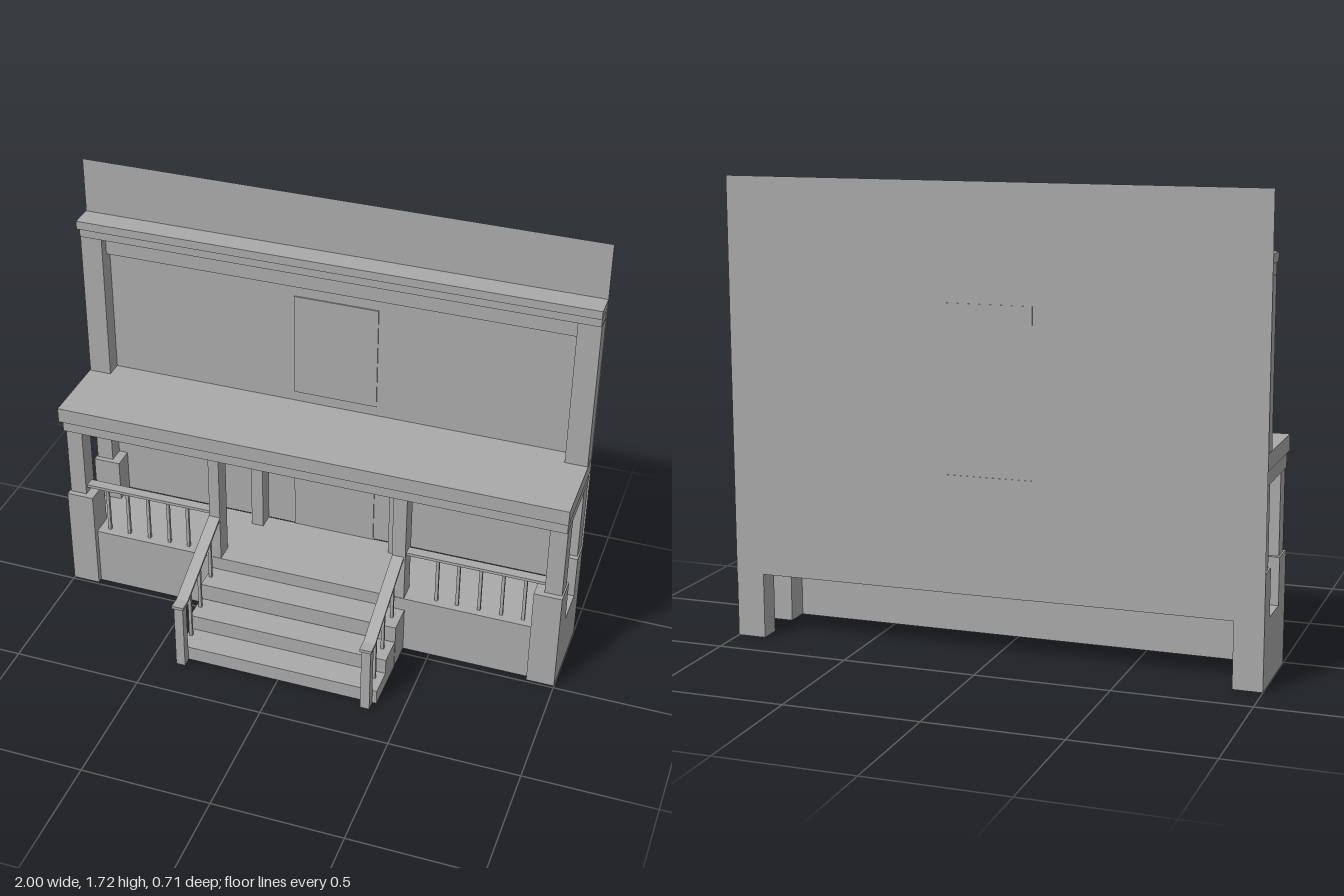
import * as THREE from 'three';

const stone = new THREE.MeshStandardMaterial({ color: 0xaaaaaa, side: THREE.DoubleSide });
stone.name = 'plain grey';

export function createModel() {
  const model = new THREE.Group();
  model.name = 'porchFacade';

  const add = (name, geometry) => {
    const mesh = new THREE.Mesh(geometry, stone);
    mesh.name = name;
    model.add(mesh);
    return mesh;
  };

  // Box given by its limits; openBottom drops the underside
  const box = (name, x0, x1, y0, y1, z0, z1, openBottom = false) => {
    const g = new THREE.BoxGeometry(Math.abs(x1 - x0), y1 - y0, z1 - z0);
    if (openBottom) {
      const index = Array.from(g.index.array);
      index.splice(18, 6);
      g.setIndex(index);
      g.clearGroups();
    }
    g.translate((x0 + x1) / 2, (y0 + y1) / 2, (z0 + z1) / 2);
    return add(name, g);
  };

  const BACK = -0.35;
  const DECK = 0.245;

  // Back wall sheet, standing from deck level up
  add('backWall', new THREE.PlaneGeometry(2, 1.72 - DECK).translate(0, (1.72 + DECK) / 2, -0.352));
  box('door', -0.165, 0.165, DECK, 0.68, -0.354, -0.347);
  box('upperWindow', -0.165, 0.165, 0.875, 1.295, -0.354, -0.347);

  // Deck and front skirt, open underneath
  add('deck', new THREE.PlaneGeometry(2, 0.32).rotateX(-Math.PI / 2).translate(0, DECK, -0.19));
  add('skirt', new THREE.PlaneGeometry(1.78, DECK).translate(0, DECK / 2, -0.03));

  // Porch roof
  box('roofFascia', -0.995, 0.995, 0.72, 0.775, BACK, -0.012);
  box('roofSlab', -1, 1, 0.775, 0.835, BACK, 0.012);

  // Upper storey frame and cornice
  box('upperBeam', -0.912, 0.912, 1.352, 1.435, BACK, -0.32);
  box('corniceBase', -0.997, 0.997, 1.432, 1.472, BACK, -0.278);
  box('corniceTop', -1, 1, 1.472, 1.505, BACK, -0.26);

  for (const s of [-1, 1]) {
    // Corner piers with a low side panel between them
    box('frontPier', s * 0.892, s, 0, 0.42, -0.12, -0.01, true);
    box('backPier', s * 0.892, s, 0, 0.42, BACK, -0.265, true);
    add('sidePanel', new THREE.PlaneGeometry(0.145, DECK).rotateY(s * Math.PI / 2)
      .translate(s, DECK / 2, -0.1925));

    // Corner columns, lower and upper
    box('frontColumn', s * 0.928, s * 0.994, 0.42, 0.72, -0.105, -0.032);
    box('backColumn', s * 0.928, s * 0.994, 0.42, 0.72, BACK, -0.285);
    box('upperColumn', s * 0.912, s * 0.998, 0.835, 1.432, BACK, -0.284);

    // Porch railing
    box('porchRail', s * 0.39, s * 0.93, 0.443, 0.455, -0.085, -0.045);
    for (const x of [0.51, 0.592, 0.678, 0.765, 0.85])
      box('porchBaluster', s * (x - 0.006), s * (x + 0.006), DECK, 0.443, -0.071, -0.059);
  }

  // Columns flanking the entrance
  for (const [x0, x1] of [[-0.403, -0.36], [0.337, 0.39]])
    box('entranceColumn', x0, x1, DECK, 0.72, -0.105, -0.032);
  for (const [x0, x1] of [[-0.326, -0.278], [0.247, 0.3]])
    box('doorColumn', x0, x1, DECK, 0.72, BACK, -0.285);

  // Steps
  const steps = [[0.2, 0.308, 0.06], [0.088, 0.2, 0.124], [-0.03, 0.083, 0.19]];
  for (const [z0, z1, h] of steps) box('step', -0.4, 0.395, 0, h, z0, z1);

  // Stair handrails: post, bent rail and balusters
  const profile = new THREE.Shape();
  [[0.355, 0.276], [0.308, 0.276], [-0.032, 0.43], [-0.032, 0.442], [0.308, 0.288], [0.355, 0.288]]
    .forEach(([z, y], i) => (i ? profile.lineTo(-z, y) : profile.moveTo(-z, y)));
  for (const x of [-0.383, 0.361]) {
    const rail = new THREE.ExtrudeGeometry(profile, { depth: 0.046, bevelEnabled: false });
    rail.translate(0, 0, -0.023).rotateY(Math.PI / 2);
    rail.translate(x, 0, 0);
    add('stairRail', rail);
    box('stairPost', x - 0.018, x + 0.018, 0, 0.277, 0.312, 0.348);
    [0.235, 0.135, 0.023].forEach((z, i) => {
      const top = 0.28 + (0.308 - z) * 0.453;
      box('stairBaluster', x - 0.006, x + 0.006, steps[i][2], top, z - 0.006, z + 0.006);
    });
  }

  return model;
}
